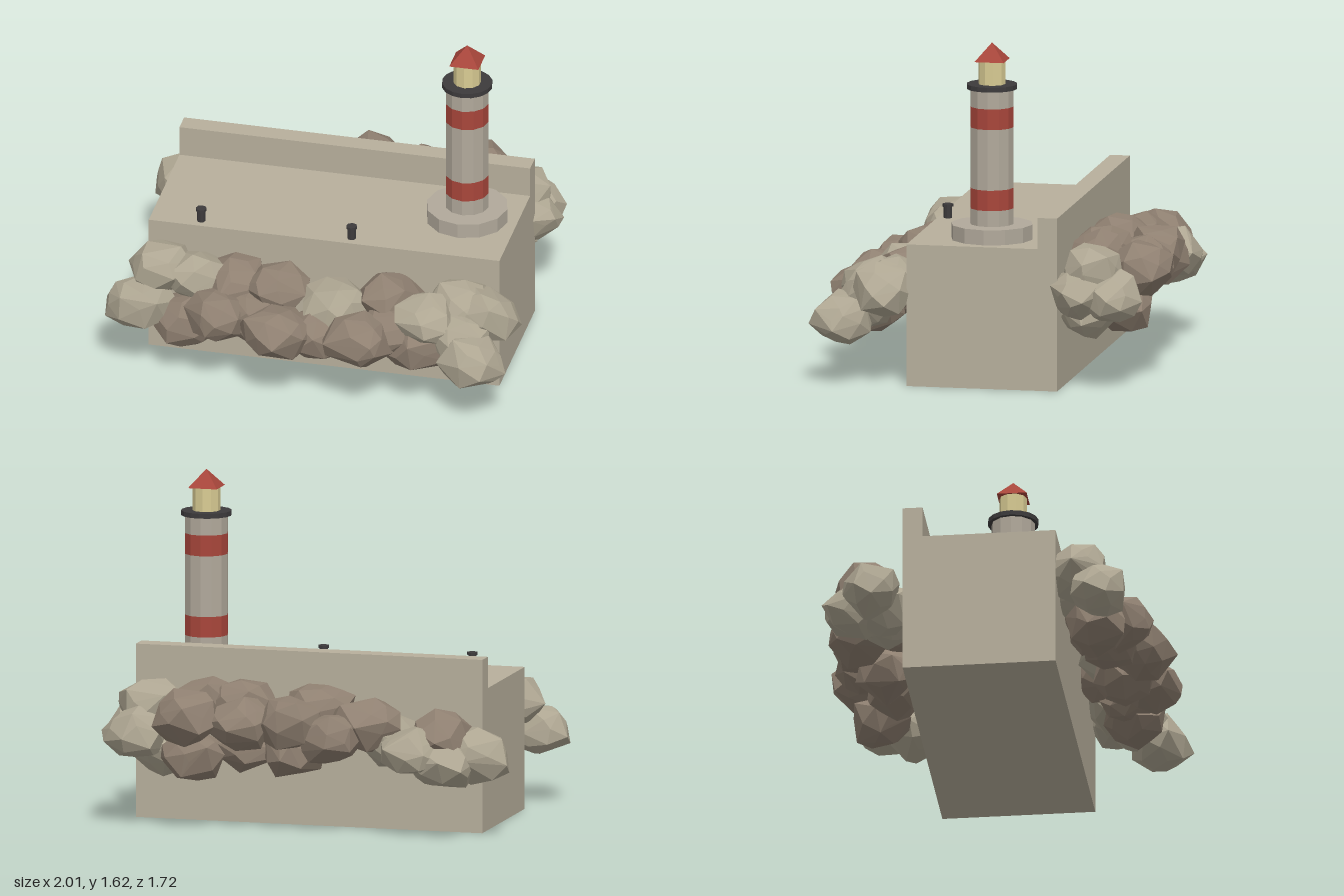
import * as THREE from 'three';
import { ConvexGeometry } from 'three/addons/geometries/ConvexGeometry.js';

function material(name, color) {
  const m = new THREE.MeshStandardMaterial({ color, flatShading: true });
  m.name = name;
  return m;
}

// Small seeded generator for the rock shapes
function seeded(seed) {
  let s = seed;
  return () => {
    s = (s * 16807) % 2147483647;
    return s / 2147483647;
  };
}

// Faceted boulder: hull of jittered points spread evenly over an ellipsoid
function rockGeometry(random) {
  const points = [], n = 30, turn = random() * Math.PI * 2;
  const rx = 0.155 + random() * 0.025;
  for (let i = 0; i < n; i++) {
    const y = 1 - (2 * (i + 0.5)) / n;
    const a = i * 2.4 + turn + (random() - 0.5) * 0.7;
    const r = Math.sqrt(1 - y * y), k = 0.82 + random() * 0.3;
    points.push(new THREE.Vector3(Math.cos(a) * r * rx * k, y * 0.13 * k, Math.sin(a) * r * 0.148 * k));
  }
  return new ConvexGeometry(points);
}

export function createModel() {
  const group = new THREE.Group();
  const concrete = material('concrete', 0xb7af9c);
  const towerStone = material('towerStone', 0xb1a99b);
  const red = material('red', 0xa8463b);
  const dark = material('darkIron', 0x3d3b3c);
  const lamp = material('lampGlass', 0xd8cb93);
  const paleRock = material('paleRock', 0xaea692);
  const brownRock = material('brownRock', 0x8f8071);

  const add = (name, geometry, mat, x, y, z, parent = group) => {
    const mesh = new THREE.Mesh(geometry, mat);
    mesh.name = name;
    mesh.position.set(x, y, z);
    parent.add(mesh);
    return mesh;
  };
  const drum = (name, r, y0, y1, sides, mat, parent, x = 0, z = 0) =>
    add(name, new THREE.CylinderGeometry(r, r, y1 - y0, sides), mat, x, (y0 + y1) / 2, z, parent);

  // Pier as one stepped extrusion: block with a raised wall along the back
  const section = new THREE.Shape([
    [-0.36, 0], [0.367, 0], [0.367, 0.83], [0.272, 0.83], [0.272, 0.68], [-0.36, 0.68],
  ].map(([z, y]) => new THREE.Vector2(z, y)));
  const pier = new THREE.ExtrudeGeometry(section, { depth: 1.702, bevelEnabled: false });
  pier.rotateY(Math.PI / 2);
  add('pier', pier, concrete, -0.828, 0, 0);

  // Lighthouse
  const tower = new THREE.Group();
  tower.name = 'lighthouse';
  tower.position.set(0.632, 0, -0.003);
  group.add(tower);
  drum('plinth', 0.195, 0.68, 0.752, 12, towerStone, tower);
  const levels = [0.752, 0.828, 0.926, 1.217, 1.316, 1.4];
  for (let i = 0; i < 5; i++) {
    const band = i % 2 === 1;
    drum(band ? 'redBand' : 'shaft', 0.104, levels[i], levels[i + 1], 12, band ? red : towerStone, tower);
  }
  drum('gallery', 0.12, 1.4, 1.423, 16, dark, tower);
  drum('lantern', 0.066, 1.423, 1.535, 10, lamp, tower);
  const roof = add('roof', new THREE.ConeGeometry(0.1, 0.085, 4), red, 0, 1.5775, 0, tower);
  roof.rotation.y = Math.PI / 4;

  // Mooring bollards
  for (const x of [-0.585, 0.145]) {
    drum('bollardPost', 0.02, 0.68, 0.735, 8, dark, group, x, 0.31);
    drum('bollardCap', 0.026, 0.735, 0.748, 8, dark, group, x, 0.31);
  }

  // Rock banks along both long sides, each boulder placed by its centre
  const random = seeded(4217);
  const bank = (name, mat, centres) => {
    const rocks = new THREE.Group();
    rocks.name = name;
    group.add(rocks);
    for (const [x, y, z] of centres) add('rock', rockGeometry(random), mat, x, y, z, rocks);
  };
  bank('frontPaleRocks', paleRock, [
    [-0.83, 0.35, 0.57], [-0.75, 0.49, 0.46], [-0.57, 0.47, 0.46], [0.12, 0.43, 0.52], [0.57, 0.44, 0.58],
    [0.71, 0.47, 0.46], [0.82, 0.31, 0.68], [0.83, 0.45, 0.48], [0.72, 0.38, 0.57],
  ]);
  bank('frontBrownRocks', brownRock, [
    [-0.6, 0.27, 0.54], [-0.43, 0.36, 0.64], [-0.38, 0.46, 0.46], [-0.18, 0.46, 0.48], [-0.13, 0.35, 0.7],
    [-0.27, 0.34, 0.57], [0.05, 0.31, 0.59], [0.27, 0.36, 0.69], [0.36, 0.46, 0.45], [0.54, 0.32, 0.58],
    [0.41, 0.36, 0.57],
  ]);
  bank('backPaleRocks', paleRock, [
    [-0.84, 0.4, -0.51], [-0.71, 0.37, -0.61], [-0.56, 0.42, -0.62], [-0.69, 0.36, -0.47],
    [-0.43, 0.44, -0.48], [0.76, 0.56, -0.51], [0.8, 0.45, -0.62], [0.69, 0.36, -0.48], [0.81, 0.46, -0.46],
  ]);
  bank('backBrownRocks', brownRock, [
    [-0.68, 0.48, -0.55], [-0.31, 0.53, -0.56], [-0.17, 0.47, -0.65], [0.03, 0.54, -0.67],
    [-0.07, 0.58, -0.48], [0.06, 0.38, -0.53], [0.29, 0.52, -0.66], [0.31, 0.58, -0.48],
    [0.53, 0.55, -0.71], [0.5, 0.58, -0.48], [0.52, 0.35, -0.62], [0.27, 0.4, -0.52],
  ]);

  return group;
}
